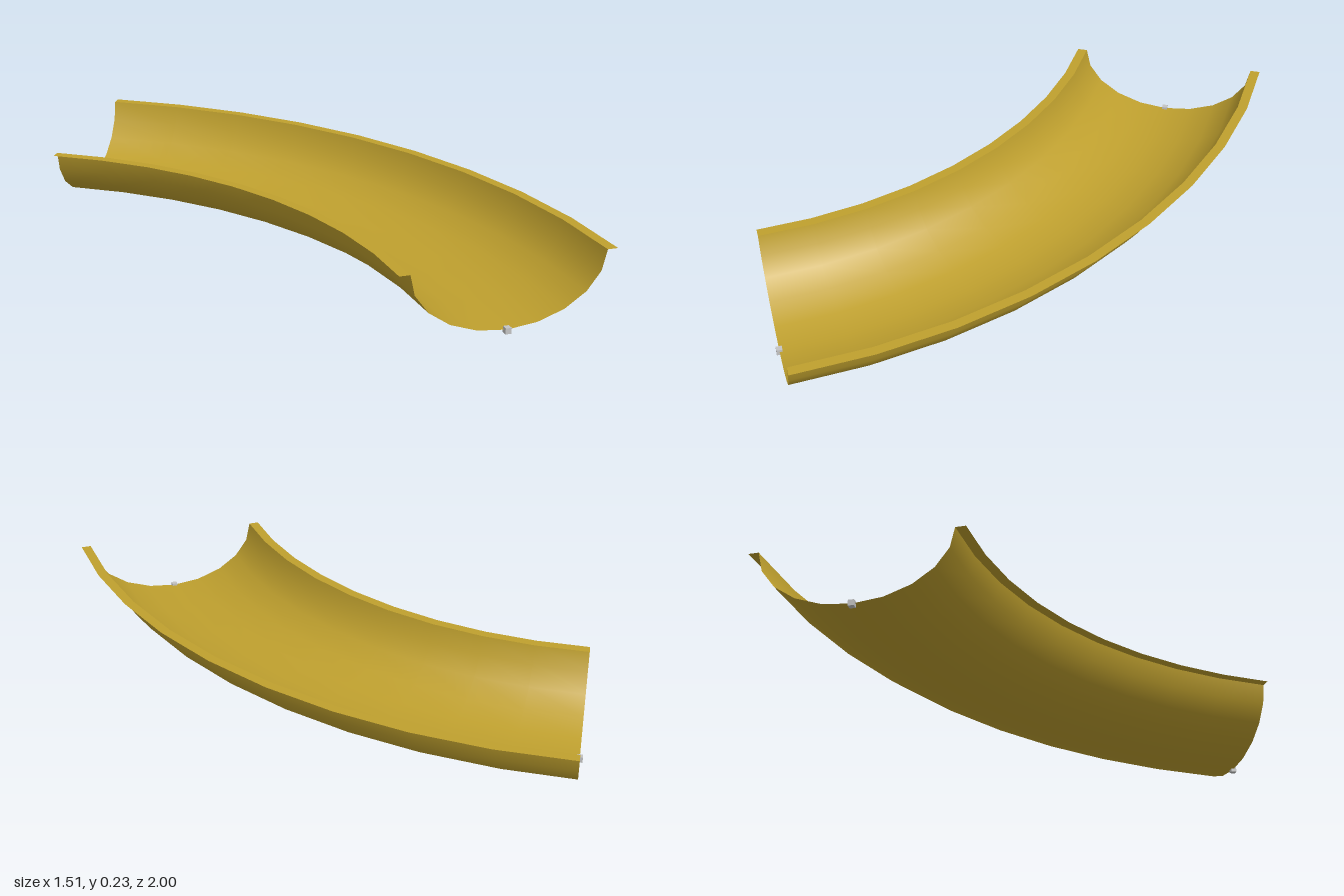
import * as THREE from 'three';

export function createModel() {
  const group = new THREE.Group();
  const brass = new THREE.MeshStandardMaterial({ name: 'mustard yellow', color: 0xbfa02e, side: THREE.DoubleSide });
  const grey = new THREE.MeshStandardMaterial({ name: 'light grey', color: 0xc4c4c4 });

  // Bend: 60 degrees around a vertical axis at (CX, CZ)
  const CX = -1.545, CZ = 0.99, RADIUS = 1.94;
  const START = Math.PI / 2, SWEEP = Math.PI / 3, STEPS = 9;
  // Half-elliptical trough section
  const HALF = 0.323, DEPTH = 0.223, BOTTOM = 0.011, LIP = 0.035;
  const TOP = BOTTOM + DEPTH;

  const addSweep = (name, points) => {
    const mesh = new THREE.Mesh(new THREE.LatheGeometry(points, STEPS, START, SWEEP), brass);
    mesh.name = name;
    mesh.position.set(CX, 0, CZ);
    group.add(mesh);
  };

  // Curved trough, swept from its outer rim to its inner rim
  const section = [];
  for (let i = 0; i <= 10; i++) {
    const a = (i / 10) * Math.PI;
    section.push(new THREE.Vector2(RADIUS + HALF * Math.cos(a), TOP - DEPTH * Math.sin(a)));
  }
  addSweep('trough', section);

  // Flat lips along both rims
  const lip = (outer, inner) => [new THREE.Vector2(outer, TOP), new THREE.Vector2(inner, TOP)];
  addSweep('outerLip', lip(RADIUS + HALF + LIP, RADIUS + HALF));
  addSweep('innerLip', lip(RADIUS - HALF, RADIUS - HALF - LIP));

  // Small connector block at the bottom of each open end
  ['frontConnector', 'backConnector'].forEach((name, i) => {
    const a = START + i * SWEEP;
    const block = new THREE.Mesh(new THREE.BoxGeometry(0.02, 0.02, 0.02), grey);
    block.name = name;
    block.position.set(CX + RADIUS * Math.sin(a), 0.01, CZ + RADIUS * Math.cos(a));
    block.rotation.y = i * SWEEP;
    group.add(block);
  });

  return group;
}
